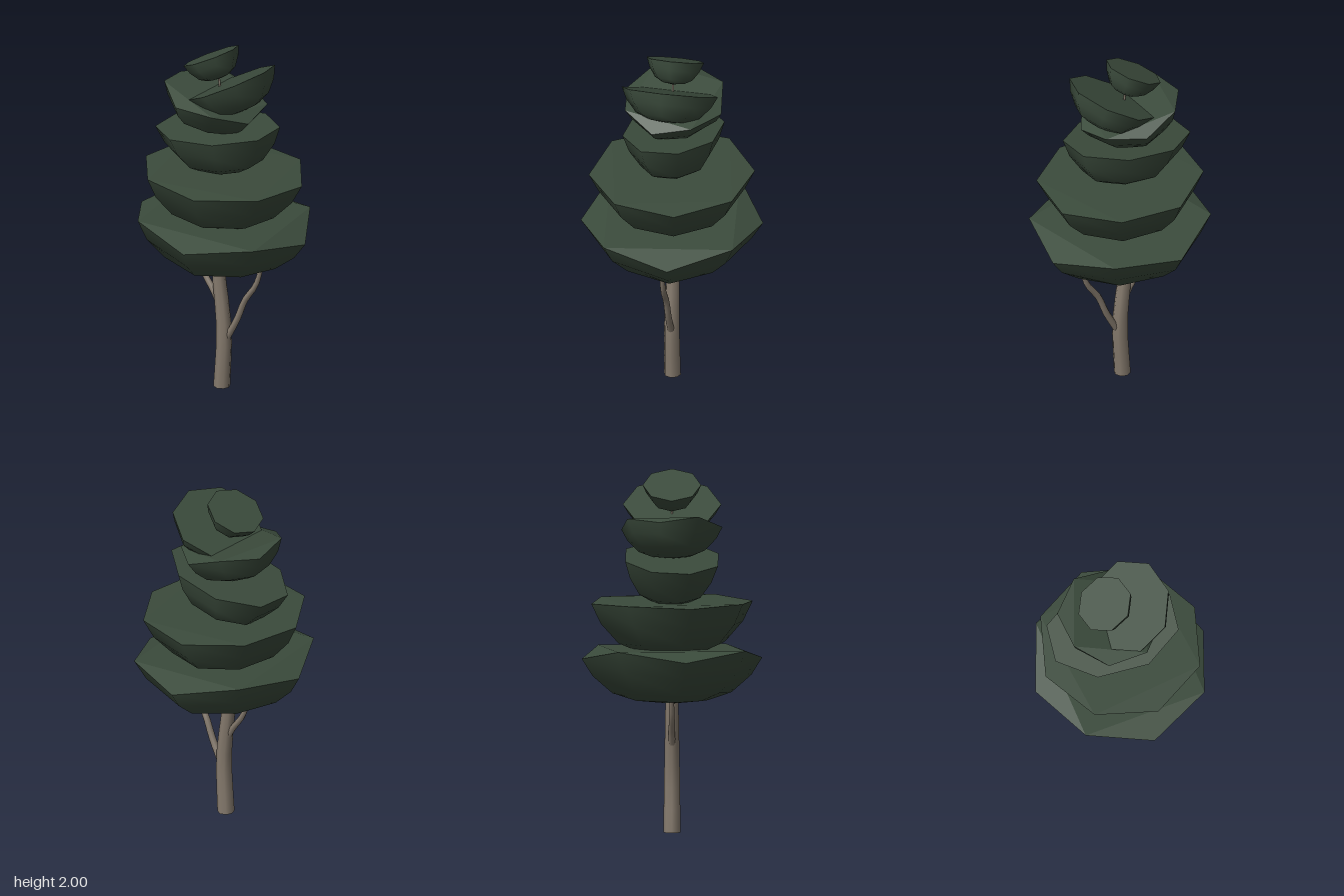
import * as THREE from 'three';

const SIDES = 8;
// bowl profile under each foliage pad: [radius fraction, depth fraction]
const PROFILE = [[1, 0], [0.88, 0.38], [0.66, 0.76], [0.4, 0.93]];

function makeGeometry(positions, index) {
  const g = new THREE.BufferGeometry();
  g.setAttribute('position', new THREE.Float32BufferAttribute(positions, 3));
  g.setIndex(index);
  return g;
}

// eight-sided pad: flat lid (alternate corners may droop) over a rounded bowl
function createPad({ name, at, rx, rz, depth, turn, tilt, pitch = 0, droop = 0 }, material) {
  const positions = [], index = [];
  for (const [r, d] of PROFILE) {
    for (let i = 0; i < SIDES; i++) {
      const a = THREE.MathUtils.degToRad(turn) + (i / SIDES) * Math.PI * 2;
      const sag = i % 2 ? 0 : droop * (1 - d);
      positions.push(Math.cos(a) * r * rx, -d * depth - sag, Math.sin(a) * r * rz);
    }
  }
  const rim = positions.slice(0, SIDES * 3);
  const apex = positions.length / 3;
  positions.push(0, -depth, 0);
  for (let k = 0; k < PROFILE.length; k++) {
    for (let i = 0; i < SIDES; i++) {
      const a = k * SIDES + i, b = k * SIDES + (i + 1) % SIDES;
      if (k === PROFILE.length - 1) index.push(a, b, apex);
      else index.push(a, b, a + SIDES, b, b + SIDES, a + SIDES);
    }
  }
  const bowl = makeGeometry(positions, index);
  bowl.computeVertexNormals();

  // lid: central square on the odd corners, plus four corner triangles
  const lidIndex = [1, 5, 3, 1, 7, 5];
  for (let i = 0; i < SIDES; i += 2) lidIndex.push((i + 7) % SIDES, (i + 1) % SIDES, i);
  const lid = makeGeometry(rim, lidIndex).toNonIndexed();
  lid.computeVertexNormals();

  const pad = new THREE.Group();
  pad.name = name;
  for (const [part, g] of [['Underside', bowl], ['Top', lid]]) {
    const mesh = new THREE.Mesh(g, material);
    mesh.name = name + part;
    pad.add(mesh);
  }
  pad.position.set(...at);
  pad.rotation.set(pitch, 0, tilt);
  return pad;
}

// tapering limb through [x, y, radius] stations
function createLimb(name, stations, material) {
  const curve = new THREE.CatmullRomCurve3(stations.map(([x, y]) => new THREE.Vector3(x, y, 0)));
  const steps = (stations.length - 1) * 3;
  const g = new THREE.TubeGeometry(curve, steps, 1, SIDES);
  const p = g.attributes.position, v = new THREE.Vector3();
  for (let i = 0; i <= steps; i++) {
    const c = curve.getPointAt(i / steps);
    // radius follows height between stations
    let k = 0;
    while (k < stations.length - 2 && c.y > stations[k + 1][1]) k++;
    const [, y0, r0] = stations[k], [, y1, r1] = stations[k + 1];
    const r = THREE.MathUtils.lerp(r0, r1, THREE.MathUtils.clamp((c.y - y0) / (y1 - y0), 0, 1));
    for (let j = 0; j <= SIDES; j++) {
      const n = i * (SIDES + 1) + j;
      v.fromBufferAttribute(p, n).sub(c).multiplyScalar(r).add(c);
      p.setXYZ(n, v.x, Math.max(0, v.y), v.z);
    }
  }
  const mesh = new THREE.Mesh(g, material);
  mesh.name = name;
  return mesh;
}

export function createModel() {
  const tree = new THREE.Group();
  tree.name = 'tree';
  const leaf = new THREE.MeshStandardMaterial({ color: 0x3b4b3c });
  leaf.name = 'dark green foliage';
  const bark = new THREE.MeshStandardMaterial({ color: 0x857a6d });
  bark.name = 'grey brown bark';

  // trunk, its foot and the two side branches
  tree.add(createLimb('trunk', [
    [-0.015, 0, 0.047], [0, 0.33, 0.043], [-0.04, 0.72, 0.036],
    [-0.04, 1.2, 0.025], [-0.02, 1.68, 0.008], [-0.04, 1.86, 0.005],
  ], bark));
  const foot = new THREE.Mesh(new THREE.CircleGeometry(0.046, SIDES), bark);
  foot.name = 'trunkFoot';
  foot.rotation.x = Math.PI / 2;
  foot.position.set(-0.015, 0.001, 0);
  tree.add(foot);
  tree.add(createLimb('leftBranch', [
    [0.025, 0.3, 0.02], [0.09, 0.42, 0.019], [0.14, 0.54, 0.018], [0.215, 0.65, 0.016], [0.26, 0.8, 0.011],
  ], bark));
  tree.add(createLimb('rightBranch', [
    [-0.02, 0.46, 0.019], [-0.07, 0.55, 0.018], [-0.14, 0.65, 0.016], [-0.2, 0.8, 0.011],
  ], bark));

  // foliage pads from the lowest to the crown
  const pads = [
    { name: 'lowestPad', at: [0, 1.017, 0], rx: 0.5, rz: 0.5, depth: 0.305, turn: -9.3, tilt: -0.08, droop: 0.055 },
    { name: 'secondPad', at: [0, 1.28, 0], rx: 0.46, rz: 0.455, depth: 0.3, turn: -14, tilt: -0.052, droop: 0.01 },
    { name: 'thirdPad', at: [-0.043, 1.523, 0], rx: 0.377, rz: 0.275, depth: 0.255, turn: 22.5, tilt: 0.11, pitch: 0.05 },
    { name: 'fourthPad', at: [-0.055, 1.722, 0], rx: 0.292, rz: 0.285, depth: 0.2, turn: 13.3, tilt: -0.25, droop: 0.035 },
    { name: 'fifthPad', at: [0.05, 1.805, 0], rx: 0.247, rz: 0.27, depth: 0.17, turn: 0, tilt: 0.46 },
    { name: 'crownPad', at: [-0.088, 1.931, 0], rx: 0.162, rz: 0.16, depth: 0.135, turn: 0, tilt: 0.44 },
  ];
  for (const pad of pads) tree.add(createPad(pad, leaf));
  return tree;
}
